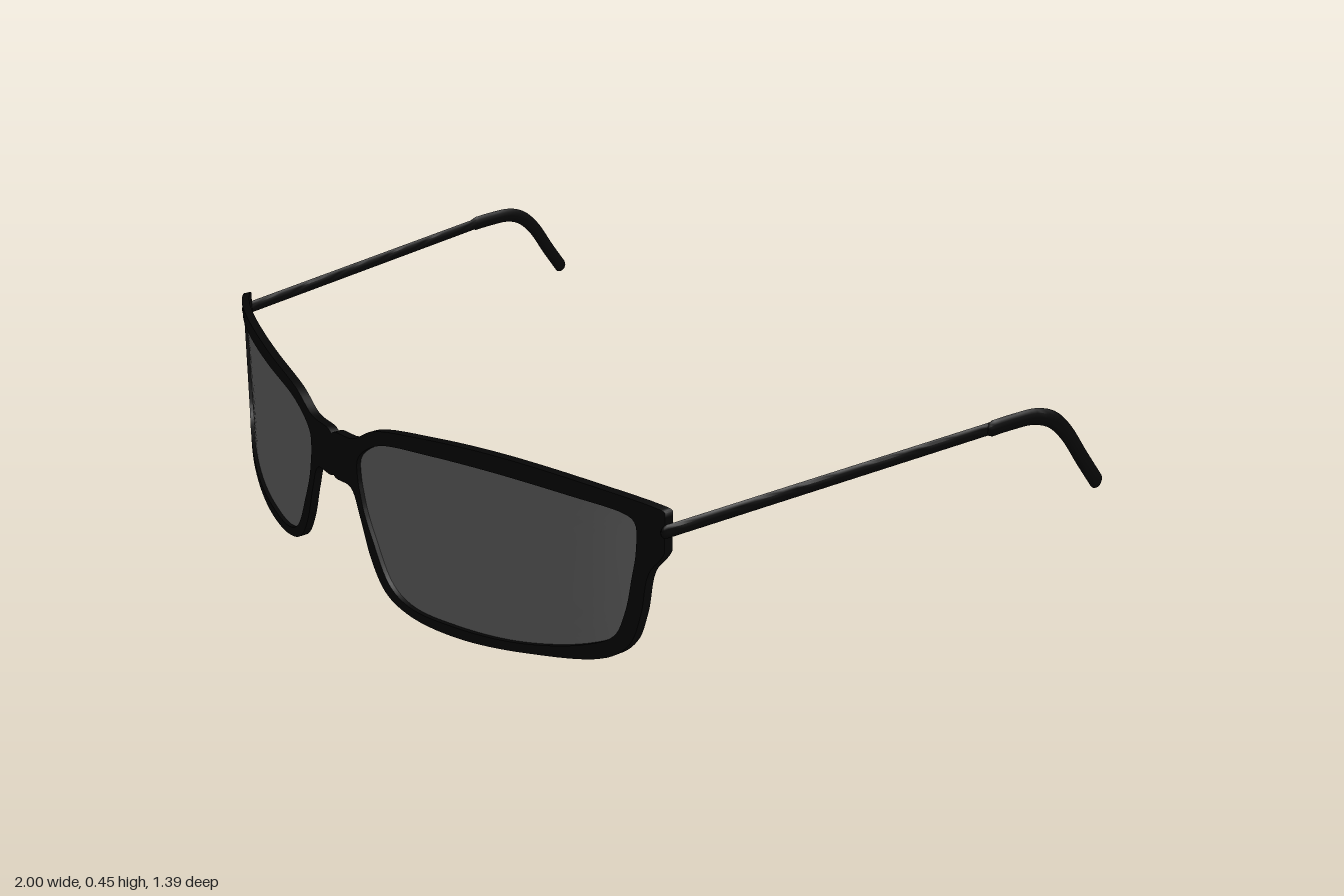
import * as THREE from 'three';
import { toCreasedNormals } from 'three/addons/utils/BufferGeometryUtils.js';

const black = new THREE.MeshStandardMaterial({ color: 0x060606 });
const grey = new THREE.MeshStandardMaterial({ color: 0x777777, side: THREE.DoubleSide });

// Outline of one half: [outer x, outer y, lens x, lens y], clockwise from the bridge top
const OUTLINE = [
  [0, 0.355, 0.098, 0.32], [0.085, 0.37, 0.115, 0.345], [0.16, 0.41, 0.18, 0.383],
  [0.33, 0.44, 0.33, 0.405], [0.49, 0.45, 0.5, 0.412], [0.65, 0.44, 0.66, 0.402],
  [0.815, 0.41, 0.765, 0.385], [0.835, 0.4, 0.782, 0.37], [0.835, 0.315, 0.785, 0.31],
  [0.808, 0.265, 0.778, 0.25], [0.795, 0.17, 0.766, 0.17], [0.775, 0.1, 0.745, 0.112],
  [0.733, 0.06, 0.69, 0.079], [0.57, 0.024, 0.55, 0.042], [0.385, 0.003, 0.385, 0.027],
  [0.25, 0.01, 0.255, 0.03], [0.18, 0.038, 0.195, 0.06], [0.135, 0.1, 0.145, 0.145],
  [0.1, 0.19, 0.115, 0.21], [0.07, 0.25, 0.104, 0.25], [0, 0.257, 0.098, 0.28],
];
const STEPS = 126;
const RADIUS = 1.536;

// Wraparound curve of the front
const bend = (x) => 0.695 - RADIUS + Math.sqrt(RADIUS * RADIUS - x * x);

// Skin a list of sections; side = -1 mirrors it across x = 0
function loft(rings, side, closeRings, closeSection) {
  const n = rings[0].length;
  const index = [];
  const rows = closeRings ? rings.length : rings.length - 1;
  const cols = closeSection ? n : n - 1;
  for (let i = 0; i < rows; i++) {
    for (let j = 0; j < cols; j++) {
      const i2 = (i + 1) % rings.length, j2 = (j + 1) % n;
      const a = i * n + j, b = i2 * n + j, c = i2 * n + j2, d = i * n + j2;
      if (side > 0) index.push(a, d, c, a, c, b);
      else index.push(a, c, d, a, b, c);
    }
  }
  const points = rings.flat().map((p) => new THREE.Vector3(p.x * side, p.y, p.z));
  const geometry = new THREE.BufferGeometry().setFromPoints(points);
  geometry.setIndex(index);
  return toCreasedNormals(geometry, 0.7);
}

// Evenly stepped smooth outline from two columns of OUTLINE
function outline(column) {
  const curve = new THREE.CatmullRomCurve3(
    OUTLINE.map((r) => new THREE.Vector3(r[column], r[column + 1], 0)), true);
  return Array.from({ length: STEPS }, (_, i) => {
    const p = curve.getPoint(i / STEPS);
    p.x = THREE.MathUtils.clamp(p.x, 0, 0.835);
    return p;
  });
}

const onBend = (x, y, dz) => new THREE.Vector3(x, y, bend(x) + dz);

// Rim with its half of the bridge
function rim(side) {
  const outer = outline(0), inner = outline(2);
  const rings = outer.map((o, i) => {
    const n = inner[i];
    return [onBend(o.x, o.y, 0), onBend(n.x, n.y, 0),
      onBend(n.x, n.y, -0.02), onBend(o.x, o.y, -0.02)];
  });
  return loft(rings, side, true, true);
}

// Thin curved lens, filled from its edge to its centre
function lens(side) {
  const rings = outline(2).map((p) => Array.from({ length: 9 }, (_, k) => {
    const t = k / 8;
    return onBend(THREE.MathUtils.lerp(p.x, 0.45, t), THREE.MathUtils.lerp(p.y, 0.22, t), -0.01);
  }));
  return loft(rings, side, true, false);
}

// Flattened round bar along a curve, with rounded ends
function bar(curve, height, width, side) {
  const rings = [];
  const length = curve.getLength(), cap = height / length;
  const ts = [0, 0.1, 0.4, 1].map((f) => f * cap);
  for (let i = 1; i < 24; i++) ts.push(cap + (1 - 2 * cap) * i / 24);
  ts.push(...[1, 0.7, 0.4, 0.1, 0].map((f) => 1 - f * cap));
  for (const t of ts) {
    const p = curve.getPointAt(t), tangent = curve.getTangentAt(t);
    const across = new THREE.Vector3(1, 0, 0).addScaledVector(tangent, -tangent.x).normalize();
    const up = new THREE.Vector3().crossVectors(across, tangent).normalize();
    const e = 1 - Math.min(1, Math.min(t, 1 - t) / cap);
    const s = Math.sqrt(Math.max(0, 1 - e * e));
    rings.push(Array.from({ length: 12 }, (_, j) => {
      const a = j / 12 * Math.PI * 2;
      return p.clone().addScaledVector(up, Math.cos(a) * height * s)
        .addScaledVector(across, Math.sin(a) * width * s);
    }));
  }
  return loft(rings, side, false, true);
}

export function createModel() {
  const model = new THREE.Group();
  model.name = 'glasses';
  const v = (x, y, z) => new THREE.Vector3(x, y, z);
  const armPath = new THREE.LineCurve3(v(0.834, 0.36, 0.458), v(0.955, 0.415, -0.37));
  const tipPath = new THREE.CatmullRomCurve3([
    v(0.953, 0.413, -0.335), v(0.96, 0.416, -0.41), v(0.966, 0.414, -0.475),
    v(0.972, 0.397, -0.525), v(0.976, 0.357, -0.572), v(0.984, 0.28, -0.63), v(0.991, 0.203, -0.69),
  ]);

  for (const side of [1, -1]) {
    const label = side > 0 ? 'left' : 'right';
    const add = (name, geometry, material) => {
      const mesh = new THREE.Mesh(geometry, material);
      mesh.name = label + name;
      model.add(mesh);
    };
    add('Rim', rim(side), black);
    add('Lens', lens(side), grey);
    add('Temple', bar(armPath, 0.015, 0.006, side), black);
    add('EarTip', bar(tipPath, 0.019, 0.008, side), black);
  }
  return model;
}
